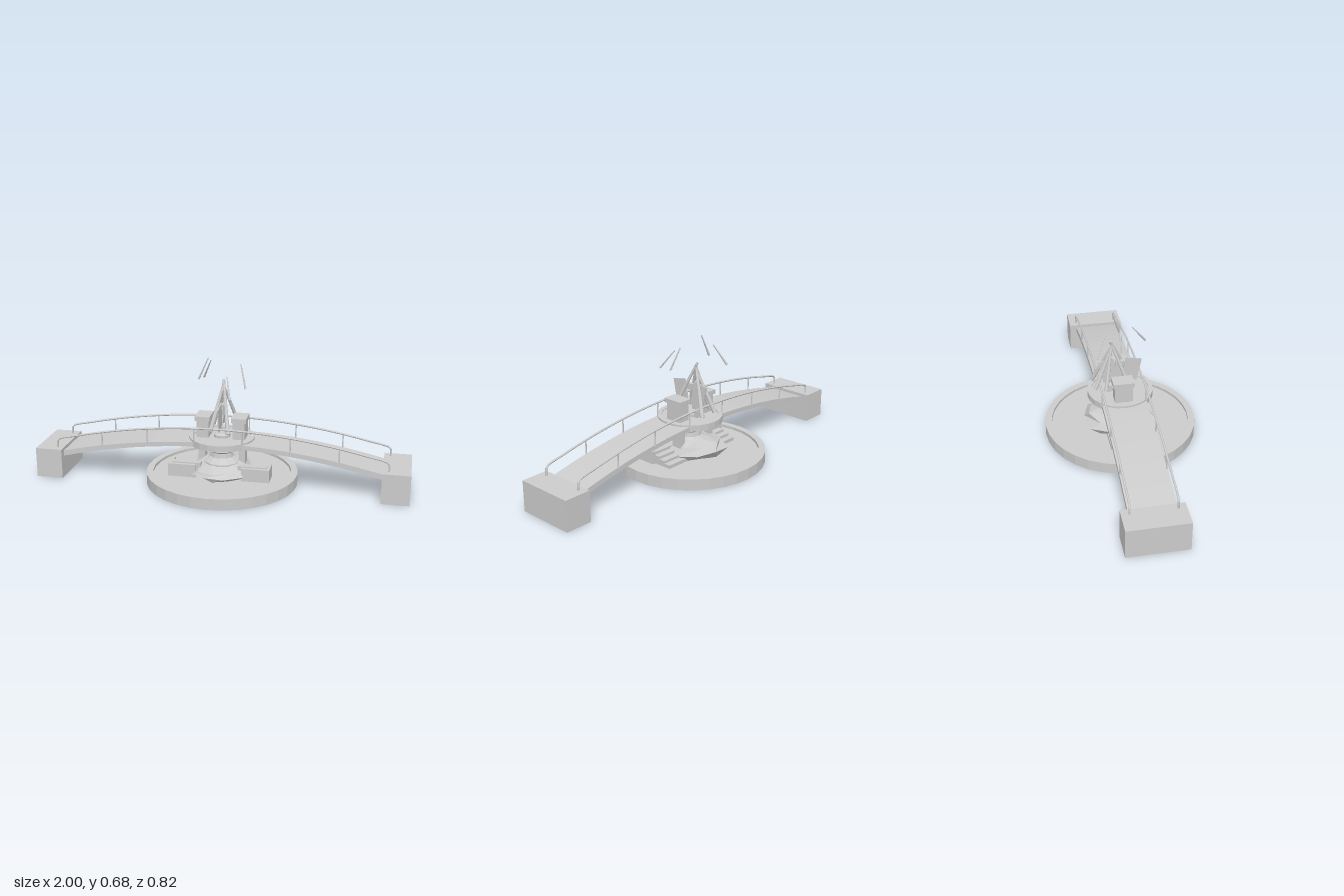
import * as THREE from 'three';

const mat = new THREE.MeshStandardMaterial({ color: 0xcccccc, flatShading: true, side: THREE.DoubleSide });
const V = (x, y, z) => new THREE.Vector3(x, y, z);

export function createModel() {
  const root = new THREE.Group();
  const add = (name, geo, x = 0, y = 0, z = 0) => {
    const m = new THREE.Mesh(geo, mat);
    m.name = name;
    m.position.set(x, y, z);
    root.add(m);
    return m;
  };
  const box = (name, w, h, d, x, y, z) => add(name, new THREE.BoxGeometry(w, h, d), x, y, z);
  const lathe = (name, pts, sides) =>
    add(name, new THREE.LatheGeometry(pts.map(p => new THREE.Vector2(p[0], p[1])), sides));
  // tapered rod between two points
  const rod = (name, a, b, ra, rb, sides = 6) => {
    const d = b.clone().sub(a);
    const m = add(name, new THREE.CylinderGeometry(rb, ra, d.length(), sides));
    m.position.copy(a).addScaledVector(d, 0.5);
    m.quaternion.setFromUnitVectors(V(0, 1, 0), d.normalize());
    return m;
  };

  // Round basin with raised rim
  lathe('basin', [[0, 0], [0.408, 0], [0.408, 0.06], [0.372, 0.06], [0.372, 0.045], [0, 0.045]], 32);

  // Arched deck
  const deckTop = x => 0.25 - 0.142 * x * x;
  const deckLow = x => 0.226 - 0.15 * x * x;
  const xs = Array.from({ length: 25 }, (_, i) => -0.87 + i * 1.74 / 24);
  const outline = [
    ...xs.map(x => new THREE.Vector2(x, deckTop(x))),
    ...xs.slice().reverse().map(x => new THREE.Vector2(x, deckLow(x))),
  ];
  add('deck', new THREE.ExtrudeGeometry(new THREE.Shape(outline), { depth: 0.236, bevelEnabled: false }), 0, 0, -0.118);

  // End blocks
  for (const s of [-1, 1]) box('endBlock', 0.145, 0.163, 0.314, s * 0.9275, 0.0815, 0);

  // Handrails with posts
  const railY = x => 0.326 - 0.148 * x * x;
  for (const z of [-0.116, 0.116]) {
    const path = [V(-0.888, 0.16, z), V(-0.888, 0.2, z)];
    for (let i = 0; i <= 16; i++) {
      const x = -0.88 + i * 0.11;
      path.push(V(x, railY(x), z));
    }
    path.push(V(0.888, 0.2, z), V(0.888, 0.16, z));
    add('handrail', new THREE.TubeGeometry(new THREE.CatmullRomCurve3(path, false, 'centripetal'), 90, 0.0055, 6));
    for (const x of [-0.634, -0.381, -0.127, 0.127, 0.381, 0.634])
      rod('railPost', V(x, deckTop(x) - 0.01, z), V(x, railY(x), z), 0.004, 0.004);
  }

  // Round platform around the crown of the arch
  lathe('platform', [[0, 0.222], [0.176, 0.222], [0.176, 0.256], [0.152, 0.256], [0.152, 0.251], [0, 0.251]], 24);

  // Turned pedestal under the platform
  lathe('pedestal', [[0.1, 0.045], [0.1, 0.12], [0.065, 0.145], [0.06, 0.17], [0.075, 0.18], [0.06, 0.195], [0.09, 0.222]], 12);
  for (const s of [-1, 1]) box('pedestalPier', 0.035, 0.18, 0.06, s * 0.11, 0.135, -0.02);

  // Low walls with steps behind them
  for (const s of [-1, 1]) {
    box('stairWall', 0.15, 0.07, 0.02, s * 0.198, 0.08, 0.1);
    box('stairEndWall', 0.018, 0.07, 0.1, s * 0.264, 0.08, 0.06);
    for (let i = 0; i < 5; i++) {
      const h = 0.075 - i * 0.014;
      box('step', 0.155, h, 0.036, s * 0.178, 0.045 + h / 2, 0.07 - i * 0.036);
    }
  }

  // Faceted rock mound: rings of uneven radius
  const radii = [0.15, 0.19, 0.17, 0.2, 0.18, 0.16, 0.18, 0.2, 0.205, 0.19, 0.17];
  const n = radii.length;
  const rings = [[0.8, 0.045], [1, 0.07], [0.85, 0.105], [0.52, 0.132], [0, 0.146]];
  const pos = [], idx = [];
  rings.forEach(([k, y], j) => {
    for (let i = 0; i < n; i++) {
      const a = (i + (j % 2) * 0.35) / n * Math.PI * 2;
      const r = radii[i] * k * (1 + 0.05 * Math.sin(i * 2.7 + j * 1.9));
      const back = Math.max(0, -Math.sin(a)) * (j === 1 || j === 2 ? 0.018 : 0);
      const front = Math.max(0, Math.sin(a)) * (j === 2 || j === 3 ? 0.02 : 0);
      pos.push(r * Math.cos(a), y + back - front + (j < 4 ? 0.006 * Math.sin(i * 2.3 + j) : 0), r * Math.sin(a));
    }
  });
  for (let j = 0; j < rings.length - 1; j++)
    for (let i = 0; i < n; i++) {
      const a = j * n + i, b = j * n + (i + 1) % n;
      idx.push(a, a + n, b, b, a + n, b + n);
    }
  const rock = new THREE.BufferGeometry();
  rock.setAttribute('position', new THREE.Float32BufferAttribute(pos, 3));
  rock.setIndex(idx);
  rock.computeVertexNormals();
  add('rockMound', rock);

  // Pair of capped blocks on the platform
  for (const s of [-1, 1]) {
    box('blockBody', 0.065, 0.1, 0.094, s * 0.0975, 0.298, -0.002);
    box('blockCap', 0.08, 0.024, 0.112, s * 0.0975, 0.357, -0.002);
  }
  lathe('hearth', [[0.045, 0.25], [0.045, 0.265], [0.03, 0.272], [0, 0.272]], 10);
  box('rearStone', 0.035, 0.035, 0.02, 0, 0.268, -0.056);

  // Two thin upright panels, tilted apart
  for (const s of [-1, 1]) {
    const panel = box('panel', 0.006, 0.13, 0.085, 0, 0.373, s * 0.062);
    panel.rotation.x = s * 0.2;
  }
  box('panelHub', 0.02, 0.035, 0.04, 0, 0.412, -0.002);

  // Leaning poles meeting at a peak
  const feet = [[0.045, 0.07], [-0.055, 0.045], [-0.065, -0.085], [0.06, -0.142], [-0.04, -0.14]];
  feet.forEach(([x, z], i) => {
    const top = V(-x * 0.06, 0.552 - i * 0.007, -0.045 - (z + 0.045) * 0.05);
    rod('leaningPole', V(x, 0.288, z), top, 0.012, 0.0065, 8);
  });

  // Loose sticks hovering around the peak
  const sticks = [
    [V(0.07, 0.497, 0.15), V(0.04, 0.602, 0.071)],
    [V(0.128, 0.526, 0.02), V(0.095, 0.648, -0.02)],
    [V(-0.13, 0.555, -0.018), V(-0.076, 0.675, -0.012)],
    [V(-0.13, 0.53, -0.144), V(-0.08, 0.64, -0.09)],
  ];
  for (const [a, b] of sticks) rod('looseStick', a, b, 0.006, 0.003);

  return root;
}
